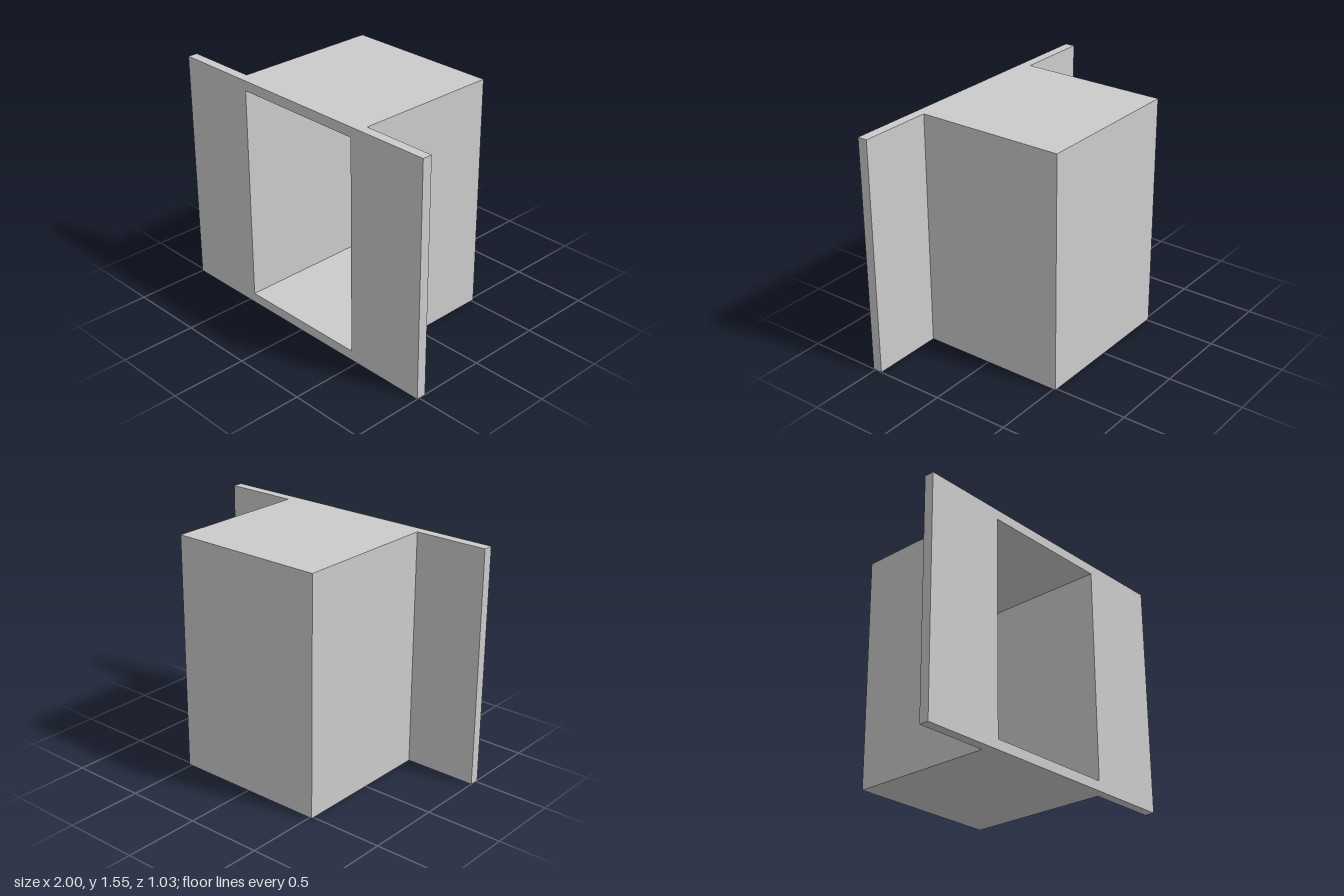
import * as THREE from 'three';

const U = 2 / 31; // wall thickness; every size is a multiple of it
const HEIGHT = 24 * U;

// Upright rectangle centred on x = 0
function rectangle(width, bottom, top, PathType) {
  const w = width / 2;
  return new PathType([
    new THREE.Vector2(-w, bottom),
    new THREE.Vector2(w, bottom),
    new THREE.Vector2(w, top),
    new THREE.Vector2(-w, top),
  ]);
}

export function createModel() {
  const group = new THREE.Group();
  group.name = 'recessedBox';
  const material = new THREE.MeshStandardMaterial({ color: 0xcccccc });

  // Full-height slab between two depths, optionally pierced by the opening
  function addSlab(name, width, zBack, zFront, open) {
    const shape = rectangle(width, 0, HEIGHT, THREE.Shape);
    if (open) shape.holes.push(rectangle(14 * U, U, HEIGHT - U, THREE.Path));
    const geometry = new THREE.ExtrudeGeometry(shape, { depth: zFront - zBack, bevelEnabled: false });
    geometry.translate(0, 0, zBack);
    const mesh = new THREE.Mesh(geometry, material);
    mesh.name = name;
    group.add(mesh);
  }

  // Wide front flange, hollow box behind it, closed back
  addSlab('frontPanel', 31 * U, 7 * U, 8 * U, true);
  addSlab('boxWalls', 16 * U, -7 * U, 7 * U, true);
  addSlab('backWall', 16 * U, -8 * U, -7 * U, false);

  return group;
}
